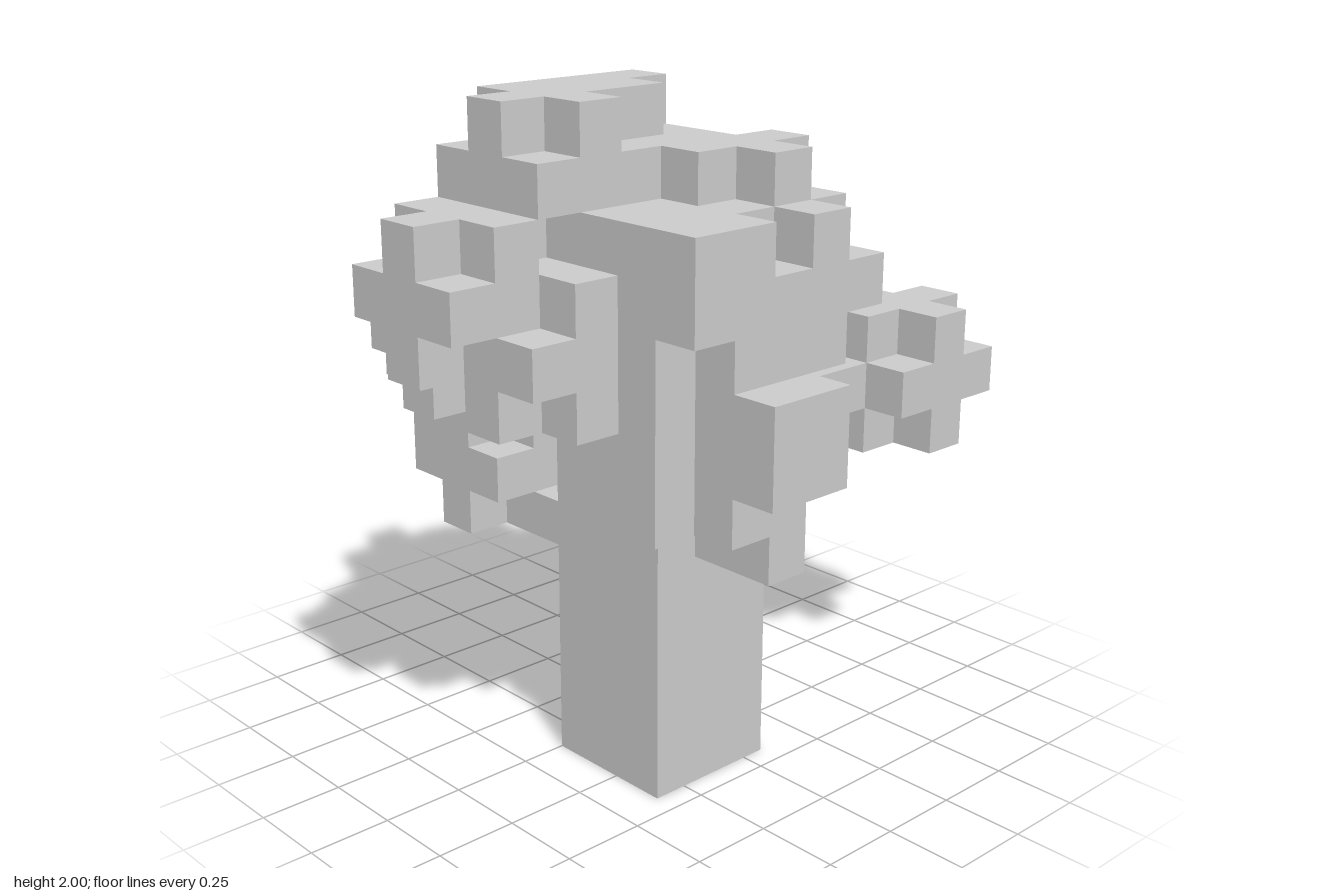
import * as THREE from 'three';
import { mergeGeometries } from 'three/addons/utils/BufferGeometryUtils.js';

const U = 1 / 7; // edge of one block
const key = (x, y, z) => `${x},${y},${z}`;

// Solid box of blocks, inclusive ranges
function box(x0, x1, y0, y1, z0, z1) {
  const cells = [];
  for (let x = x0; x <= x1; x++)
    for (let y = y0; y <= y1; y++)
      for (let z = z0; z <= z1; z++) cells.push([x, y, z]);
  return cells;
}

// Leaf tuft: 3 x 3 x 3 blocks without the eight corners
function tuft(x, y, z) {
  return box(x, x + 2, y, y + 2, z, z + 2).filter(
    ([a, b, c]) => a === x + 1 || b === y + 1 || c === z + 1);
}

const parts = {
  trunk: box(4, 6, 0, 8, 6, 8),
  sideBranch: box(7, 9, 7, 7, 8, 8),
  backBranch: box(5, 6, 4, 4, 4, 5),
  sideTuft: tuft(10, 6, 7),
  backTufts: [...tuft(4, 6, 0), ...tuft(6, 4, 2), ...tuft(4, 4, 1)],
  crownCore: [
    ...box(3, 6, 8, 10, 4, 4),
    ...box(3, 6, 8, 11, 5, 8),
    ...box(3, 6, 12, 12, 5, 6),
    ...box(3, 5, 12, 12, 7, 7),
    ...box(4, 6, 7, 7, 5, 5),
  ],
  crownTop: [
    ...tuft(2, 11, 5),
    ...box(3, 6, 13, 13, 5, 5),
    ...box(3, 5, 13, 13, 6, 6),
  ],
  crownRightTufts: [...tuft(0, 9, 5), ...tuft(1, 8, 6), ...tuft(1, 8, 4)],
  crownLeftTufts: [...tuft(6, 9, 6), ...tuft(6, 8, 6), ...tuft(5, 9, 4)],
  crownFrontTufts: [
    ...tuft(3, 9, 8), ...box(3, 3, 11, 11, 10, 10), ...box(5, 5, 9, 9, 10, 10),
    ...tuft(5, 9, 8), ...tuft(5, 10, 7),
  ],
  frontHangingLeaves: [
    ...box(3, 5, 6, 8, 8, 9),
    ...box(4, 5, 6, 8, 10, 10),
    ...box(4, 5, 7, 8, 11, 11),
    ...box(5, 5, 5, 5, 9, 10),
  ],
  crownBackLeaves: [
    ...box(3, 5, 9, 10, 3, 3),
    ...box(4, 5, 11, 12, 4, 4),
    ...box(7, 8, 9, 10, 4, 4),
  ],
};

// One square per side of a block, with the direction it faces
const sides = [
  [1, 0, 0, 'y', Math.PI / 2], [-1, 0, 0, 'y', -Math.PI / 2],
  [0, 1, 0, 'x', -Math.PI / 2], [0, -1, 0, 'x', Math.PI / 2],
  [0, 0, 1, 'y', 0], [0, 0, -1, 'y', Math.PI],
].map(([x, y, z, axis, angle]) => {
  const g = new THREE.PlaneGeometry(U, U);
  if (axis === 'x') g.rotateX(angle); else g.rotateY(angle);
  return { x, y, z, g: g.translate(x * U / 2, y * U / 2, z * U / 2) };
});

export function createModel() {
  const group = new THREE.Group();
  group.name = 'blockTree';
  const material = new THREE.MeshStandardMaterial({ color: 0xcccccc, flatShading: true });
  const filled = new Set(Object.values(parts).flat().map((c) => key(...c)));
  const done = new Set();

  for (const [name, cells] of Object.entries(parts)) {
    const faces = [];
    for (const [x, y, z] of cells) {
      if (done.has(key(x, y, z))) continue;
      done.add(key(x, y, z));
      // Only the exposed sides of a block are drawn
      for (const s of sides) {
        if (filled.has(key(x + s.x, y + s.y, z + s.z))) continue;
        faces.push(s.g.clone().translate((x - 6) * U, (y + 0.5) * U, (z - 5.5) * U));
      }
    }
    const mesh = new THREE.Mesh(mergeGeometries(faces), material);
    mesh.name = name;
    group.add(mesh);
  }
  return group;
}
